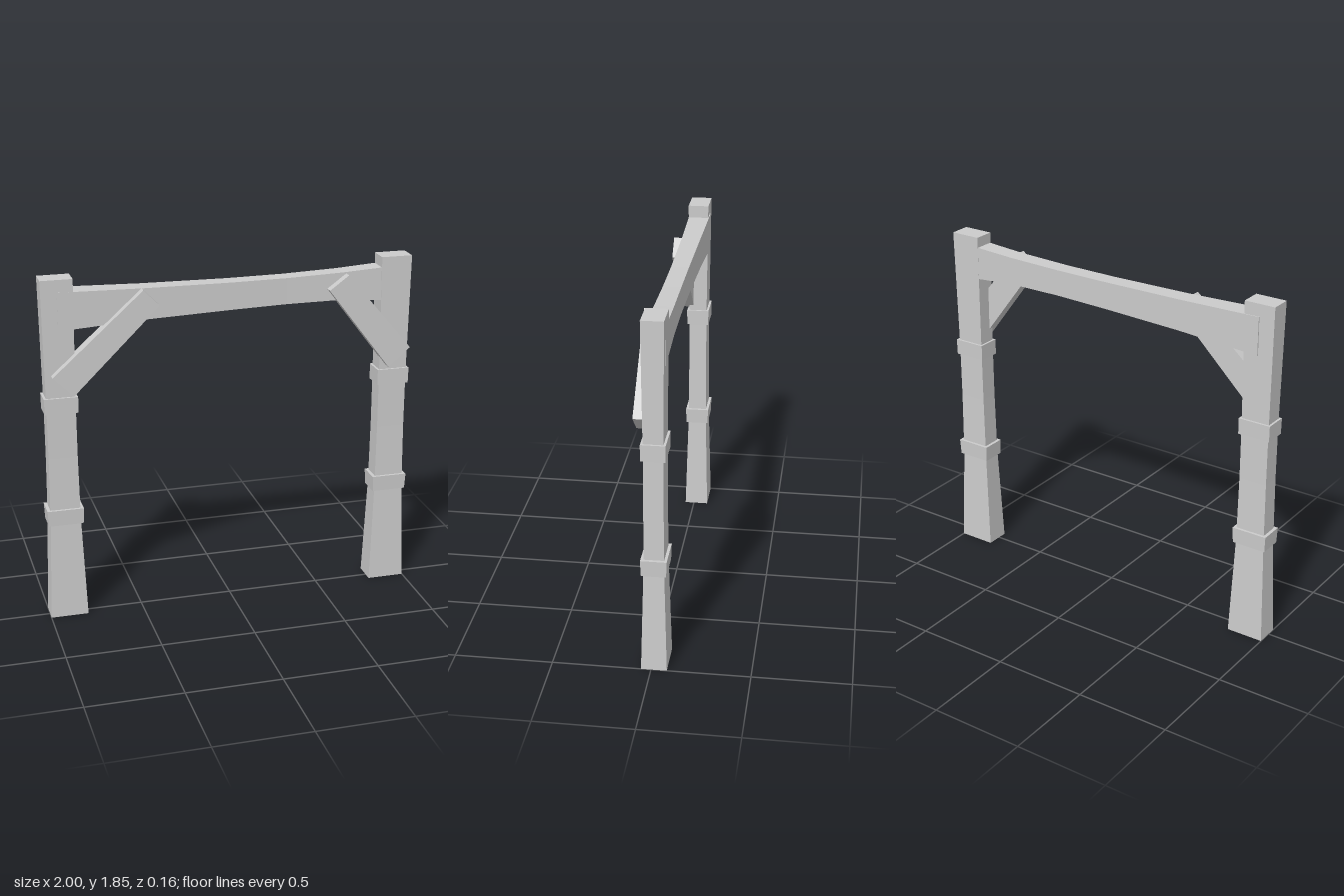
import * as THREE from 'three';
import { mergeVertices } from 'three/addons/utils/BufferGeometryUtils.js';

const material = new THREE.MeshStandardMaterial({ color: 0xcccccc, flatShading: true });

// Skin a row of four-cornered rings (counter-clockwise seen from the far end) and cap both ends
function loft(name, rings) {
  const pos = [];
  const quad = (a, b, c, d) => pos.push(...a, ...b, ...c, ...a, ...c, ...d);
  for (let r = 0; r < rings.length - 1; r++) {
    for (let i = 0; i < 4; i++) {
      const j = (i + 1) % 4;
      quad(rings[r][i], rings[r][j], rings[r + 1][j], rings[r + 1][i]);
    }
  }
  const [a, b, c, d] = rings[0];
  quad(d, c, b, a);
  quad(...rings[rings.length - 1]);
  let geo = new THREE.BufferGeometry();
  geo.setAttribute('position', new THREE.Float32BufferAttribute(pos, 3));
  geo = mergeVertices(geo);
  geo.computeVertexNormals();
  const mesh = new THREE.Mesh(geo, material);
  mesh.name = name;
  return mesh;
}

// Upright timber from [height, half width, half depth] sections
const upright = (name, sections) => loft(name, sections.map(([y, w, d]) =>
  [[-w, y, d], [w, y, d], [w, y, -d], [-w, y, -d]]));

// Horizontal timber from [x, bottom, top, back, front] sections
const crossbar = (name, sections) => loft(name, sections.map(([x, y0, y1, z0, z1]) =>
  [[x, y0, z1], [x, y0, z0], [x, y1, z0], [x, y1, z1]]));

// Diagonal timber from [x, y, front z] corners
const brace = (name, corners) => loft(name, [
  corners.map(([x, y]) => [x, y, 0.01]),
  corners,
]);

export function createModel() {
  const model = new THREE.Group();

  // Posts with two collars each
  for (const [side, name] of [[1, 'leftPost'], [-1, 'rightPost']]) {
    const post = new THREE.Group();
    post.name = name;
    post.position.set(side * 0.9, 0, -0.015);
    post.add(
      upright('shaft', [[0, 0.1, 0.065], [0.55, 0.08, 0.051], [0.9, 0.076, 0.049],
        [1.2, 0.076, 0.049], [1.85, 0.083, 0.055]]),
      upright('lowerCollar', [[0.53, 0.092, 0.062], [0.615, 0.096, 0.065]]),
      upright('upperCollar', [[1.147, 0.087, 0.06], [1.232, 0.088, 0.061]]),
    );
    model.add(post);
  }

  // Sagging beam
  model.add(crossbar('beam', [
    [-0.9, 1.585, 1.785, -0.075, 0.041],
    [-0.45, 1.61, 1.774, -0.067, 0.033],
    [0, 1.625, 1.77, -0.062, 0.03],
    [0.3, 1.633, 1.772, -0.062, 0.03],
    [0.6, 1.634, 1.781, -0.065, 0.031],
    [0.92, 1.61, 1.8, -0.069, 0.037],
  ]));

  // Diagonal braces nailed to the front
  model.add(
    brace('rightBrace', [[-0.84, 1.246, 0.08], [-0.385, 1.69, 0.075],
      [-0.468, 1.775, 0.075], [-0.945, 1.353, 0.08]]),
    brace('leftBrace', [[0.858, 1.257, 0.081], [0.976, 1.358, 0.081],
      [0.623, 1.775, 0.075], [0.52, 1.7, 0.075]]),
  );
  return model;
}
